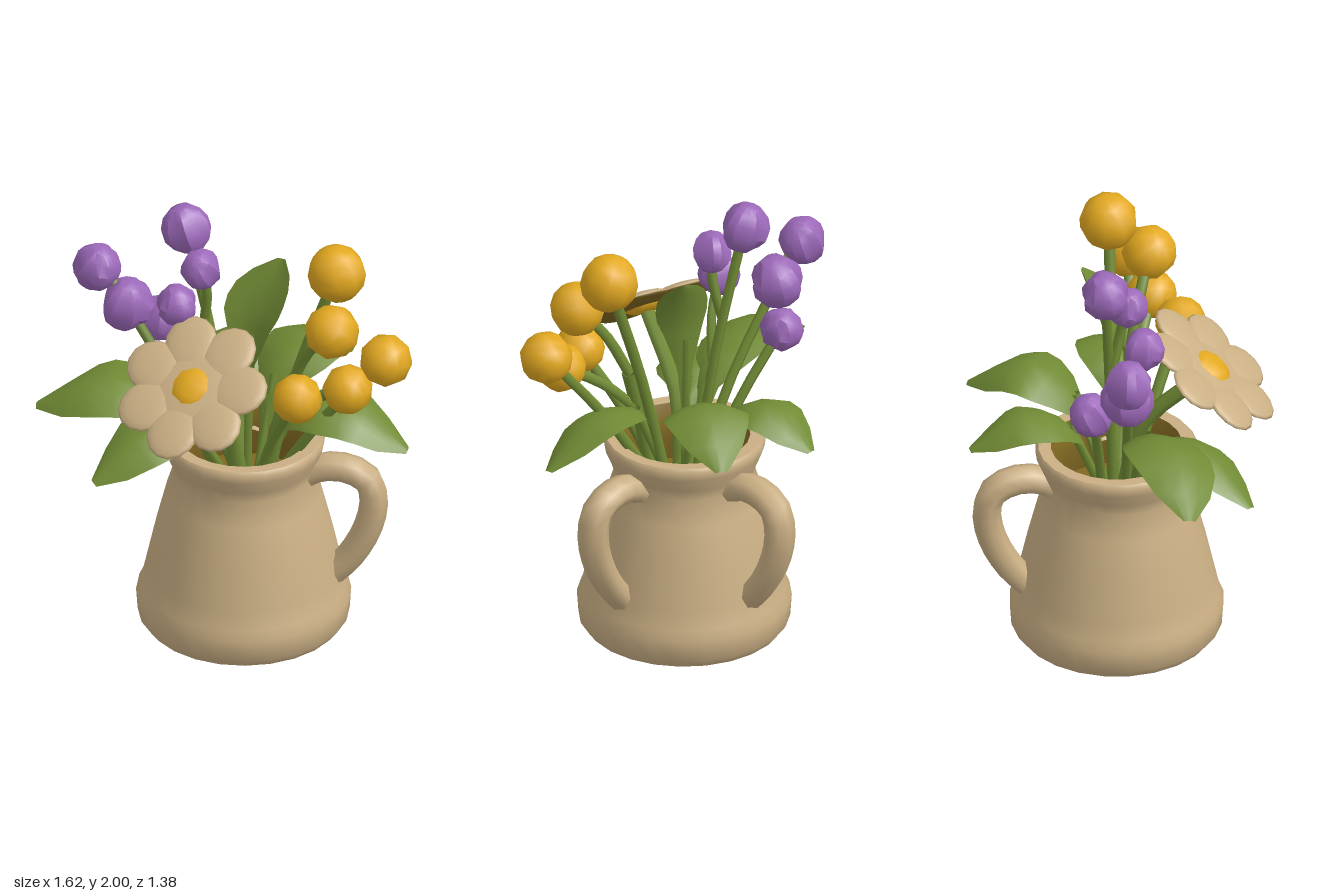
import * as THREE from 'three';
import { toCreasedNormals } from 'three/addons/utils/BufferGeometryUtils.js';

const mat = (name, color, side = THREE.FrontSide) => {
  const m = new THREE.MeshStandardMaterial({ color, side });
  m.name = name;
  return m;
};
const V = (x, y, z) => new THREE.Vector3(x, y, z);

export function createModel() {
  const root = new THREE.Group();
  root.name = 'flowerJug';
  const clay = mat('clay', 0xcaaf84);
  const brown = mat('shadedBrown', 0x806822);
  const green = mat('leafGreen', 0x718b35, THREE.DoubleSide);
  const purple = mat('purple', 0x9c69b9);
  const gold = mat('gold', 0xe3a920);

  const add = (parent, geo, material, name, pos) => {
    const mesh = new THREE.Mesh(geo, material);
    mesh.name = name;
    if (pos) mesh.position.copy(pos);
    parent.add(mesh);
    return mesh;
  };
  const lathe = (pts, seg) =>
    toCreasedNormals(new THREE.LatheGeometry(pts.map(p => new THREE.Vector2(...p)), seg), 0.9);

  // Jug: body with a soft base band and flared lip, then the inside
  const jug = new THREE.Group();
  jug.name = 'jug';
  jug.position.set(-0.008, 0, -0.01);
  root.add(jug);
  add(jug, lathe([[0, 0], [0.435, 0], [0.465, 0.04], [0.472, 0.14], [0.452, 0.185], [0.433, 0.27],
    [0.393, 0.45], [0.345, 0.64], [0.308, 0.755], [0.325, 0.81], [0.352, 0.875], [0.358, 0.915],
    [0.345, 0.932], [0.29, 0.93]], 24), clay, 'jugBody');
  add(jug, lathe([[0.29, 0.93], [0.26, 0.86], [0.255, 0.78], [0.28, 0.66], [0, 0.66]], 24), brown, 'jugInside');

  // Two looped handles
  const handlePath = new THREE.CatmullRomCurve3([[0.27, 0.75], [0.35, 0.795], [0.46, 0.8], [0.55, 0.755],
    [0.58, 0.65], [0.55, 0.5], [0.47, 0.35], [0.39, 0.26]].map(p => V(p[0], p[1], 0)));
  for (const angle of [0.33, 1.9]) {
    const handle = add(jug, new THREE.TubeGeometry(handlePath, 14, 0.064, 8), clay, 'handle');
    handle.rotation.y = angle;
    handle.scale.z = 1.15;
  }

  // Stems
  const stem = (points, radius = 0.025) =>
    add(root, new THREE.TubeGeometry(new THREE.CatmullRomCurve3(points), 6, radius, 6), green, 'stem');

  // Round yellow blossoms: position, radius, point where the branch starts
  const yellowMain = V(0.25, 1.28, 0.02);
  const yellows = [
    [V(0.41, 1.82, -0.1), 0.13, V(0.08, 0.7, -0.02)],
    [V(0.48, 1.63, 0.07), 0.122, yellowMain],
    [V(0.69, 1.49, -0.04), 0.118, V(0.15, 0.75, 0)],
    [V(0.56, 1.36, 0.07), 0.112, V(0.2, 1.08, 0.02)],
    [V(0.39, 1.34, 0.22), 0.112, V(0.08, 0.7, 0.04)],
  ];
  yellows.forEach(([p, r, from], i) => {
    const ball = add(root, new THREE.SphereGeometry(r, 9, 7), gold, 'yellowBlossom', p);
    ball.rotation.set(0.5 * i, 0.9 * i, 0.3);
    stem([from, from.clone().lerp(p, 0.5).add(V(-0.015, 0.02, 0)), p]);
  });
  stem([V(0.12, 0.7, 0.03), V(0.19, 1.05, 0.03), yellowMain], 0.033);

  // Purple buds: overlapping petals wrapped round an egg
  const budGeometry = r => {
    const g = new THREE.SphereGeometry(1, 15, 7).toNonIndexed();
    const pos = g.attributes.position;
    const v = new THREE.Vector3();
    for (let i = 0; i < pos.count; i++) {
      v.fromBufferAttribute(pos, i);
      const around = Math.atan2(v.z, v.x) / (Math.PI * 2) + 1;
      const step = Math.round(around * 15) % 3;
      const flat = Math.hypot(v.x, v.z);
      const k = r * (1 + flat * [0.06, -0.15, 0.0][step]);
      v.set(v.x * k, v.y * r * 1.06, v.z * k);
      pos.setXYZ(i, v.x, v.y, v.z);
    }
    return toCreasedNormals(g, 0.55);
  };
  const buds = [
    [V(-0.30, 1.885, -0.02), 0.108, V(-0.06, 0.7, -0.02)],
    [V(-0.18, 1.755, 0.06), 0.09, V(-0.2, 1.45, 0.0)],
    [V(-0.26, 1.59, 0.14), 0.092, V(-0.15, 1.25, 0.0)],
    [V(-0.67, 1.66, 0.13), 0.105, V(-0.5, 1.45, 0.1)],
    [V(-0.53, 1.5, 0.11), 0.118, V(-0.1, 0.7, 0.04)],
    [V(-0.46, 1.36, -0.06), 0.096, V(-0.08, 0.7, -0.06)],
  ];
  buds.forEach(([p, r, from], i) => {
    const bud = add(root, budGeometry(r), purple, 'purpleBud', p);
    bud.rotation.set(0.25 * Math.sin(i * 2), i, 0.35);
    stem([from, from.clone().lerp(p, 0.5).add(V(0.02, 0.02, 0)), p], 0.022);
  });

  // Daisy, tilted up and forward: seven cushioned petals with brown undersides
  const daisy = new THREE.Group();
  daisy.name = 'daisy';
  daisy.position.set(-0.03, 1.37, 0.41);
  daisy.rotation.x = -0.91;
  root.add(daisy);
  const dome = turn => new THREE.SphereGeometry(1, 14, 4, 0, Math.PI * 2, 0, Math.PI / 2).rotateX(turn);
  const front = dome(Math.PI / 2), back = dome(-Math.PI / 2);
  const cushion = (x, y, turn, w, h) => {
    for (const [geo, material, name, depth] of [[front, clay, 'petalFront', 0.028], [back, brown, 'petalBack', 0.02]]) {
      const half = add(daisy, geo, material, name, V(x, y, 0));
      half.rotation.z = turn;
      half.scale.set(w, h, depth);
    }
  };
  for (let i = 0; i < 7; i++) {
    const a = (i / 7) * Math.PI * 2;
    cushion(0.215 * Math.sin(a), -0.215 * Math.cos(a), a, 0.122, 0.135);
  }
  cushion(0, 0, 0, 0.19, 0.19);
  const centre = add(daisy, new THREE.SphereGeometry(0.105, 9, 6), gold, 'daisyCentre');
  centre.scale.z = 0.45;
  stem([V(0, 0.7, 0.02), V(-0.03, 1.05, 0.1), V(-0.03, 1.35, 0.39)], 0.035);

  // Leaves: a curved midrib, swept with a drooping cross-section; lean tips one edge up or down
  const widths = [0.1, 0.1, 0.3, 0.75, 0.96, 1, 0.92, 0.65, 0.14];
  const across = [-1, -0.5, 0, 0.5, 1];
  const leaf = (points, width, lean, side) => {
    const curve = new THREE.CatmullRomCurve3(points);
    const verts = [], index = [];
    widths.forEach((w, i) => {
      const c = curve.getPoint(i / (widths.length - 1));
      const dir = curve.getTangent(i / (widths.length - 1));
      const s = side || V(dir.z, 0, -dir.x).normalize().add(V(0, lean, 0)).normalize();
      const up = dir.clone().cross(s).normalize();
      across.forEach((u, j) => {
        const p = c.clone().addScaledVector(s, u * w * width / 2)
          .addScaledVector(up, -0.16 * u * u * w * width);
        verts.push(p.x, p.y, p.z);
        if (i && j) {
          const k = i * 5 + j;
          index.push(k - 6, k - 1, k - 5, k - 5, k - 1, k);
        }
      });
    });
    const g = new THREE.BufferGeometry();
    g.setAttribute('position', new THREE.Float32BufferAttribute(verts, 3));
    g.setIndex(index);
    g.computeVertexNormals();
    add(root, g, green, 'leaf');
    stem([points[0], points[0].clone().lerp(points[1], 0.5), points[1]], 0.02);
  };
  leaf([V(-0.06, 0.7, 0.05), V(-0.24, 1.14, 0.16), V(-0.52, 1.23, 0.32), V(-0.81, 1.07, 0.42)], 0.38, -0.2);
  leaf([V(-0.03, 0.7, 0.06), V(-0.15, 1.07, 0.22), V(-0.26, 1.09, 0.42), V(-0.4, 0.9, 0.64)], 0.33, -0.25);
  leaf([V(0.06, 0.7, -0.01), V(0.24, 1.12, -0.03), V(0.49, 1.17, -0.09), V(0.74, 0.99, -0.15)], 0.33, 0.25);
  leaf([V(-0.05, 0.7, -0.06), V(-0.14, 1.1, -0.2), V(-0.24, 1.19, -0.4), V(-0.32, 1.05, -0.62)], 0.32, 0);
  leaf([V(0.03, 0.7, -0.06), V(0.04, 1.15, -0.2), V(0.09, 1.27, -0.42), V(0.16, 1.1, -0.69)], 0.38, 0);
  // Upright leaf behind the daisy
  leaf([V(0, 0.7, -0.03), V(0.0, 1.42, -0.05), V(0.03, 1.6, -0.1), V(0.09, 1.76, -0.18)], 0.27, 0, V(1, 0, -0.08).normalize());

  return root;
}
